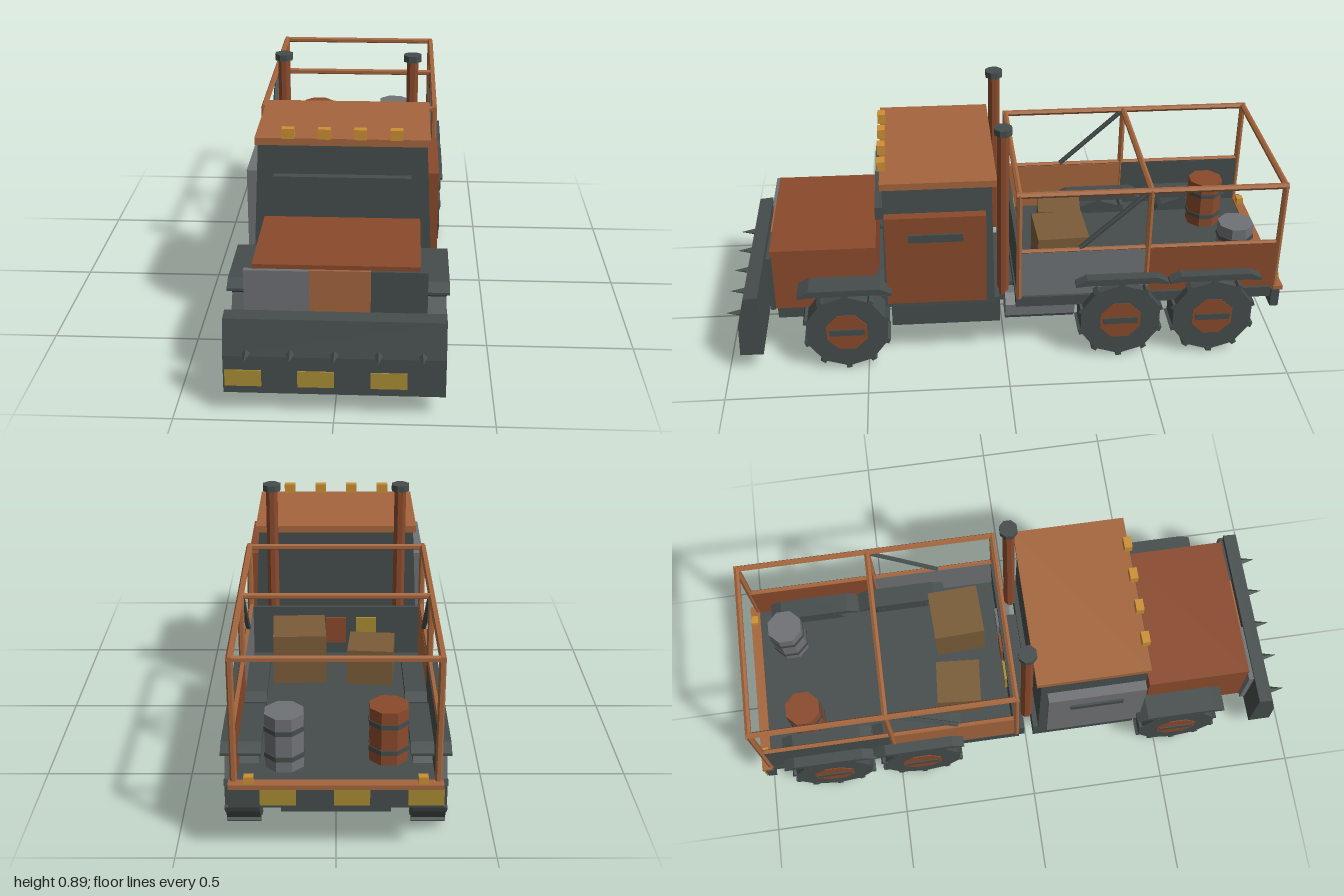
import * as THREE from 'three';

const M = (name, color) => {
  const m = new THREE.MeshStandardMaterial({ color });
  m.name = name;
  return m;
};

export function createModel() {
  const truck = new THREE.Group();
  truck.name = 'armouredTruck';
  const charcoal = M('charcoal', 0x454d4c), rust = M('rust', 0x8a4a2c), orange = M('orange rust', 0xa5663d);
  const grey = M('bare steel', 0x6f7275), yellow = M('hazard yellow', 0xa88c34), amber = M('amber', 0xcc9034);
  const crateTan = M('crate tan', 0x7a5c38);

  const add = (name, geo, mat, x = 0, y = 0, z = 0, parent = truck) => {
    const m = new THREE.Mesh(geo, mat);
    m.name = name;
    m.position.set(x, y, z);
    parent.add(m);
    return m;
  };
  // Box given by its limits on each axis
  const box = (name, mat, x0, x1, y0, y1, z0, z1) =>
    add(name, new THREE.BoxGeometry(x1 - x0, y1 - y0, z1 - z0), mat, (x0 + x1) / 2, (y0 + y1) / 2, (z0 + z1) / 2);
  // Faceted cylinder with flats facing the axes
  const prism = (r, h, n = 8) => new THREE.CylinderGeometry(r, r, h, n).rotateY(Math.PI / n).toNonIndexed();
  const facet = (g) => { g.computeVertexNormals(); return g; };
  // Faceted bar between two points
  const bar = (name, mat, a, b, r = 0.011) => {
    const A = new THREE.Vector3(...a), B = new THREE.Vector3(...b), d = B.clone().sub(A);
    const m = add(name, facet(prism(r, d.length(), 6)), mat);
    m.position.copy(A).add(B).multiplyScalar(0.5);
    m.quaternion.setFromUnitVectors(new THREE.Vector3(0, 1, 0), d.normalize());
    return m;
  };
  // Profile of [z, y] points swept along x
  const sweepX = (pts, width) => {
    const s = new THREE.Shape(pts.map(([z, y]) => new THREE.Vector2(-z, y)));
    return new THREE.ExtrudeGeometry(s, { depth: width, bevelEnabled: false })
      .translate(0, 0, -width / 2).rotateY(Math.PI / 2);
  };
  // Box whose top is narrower than its base
  const taper = (w, h, d, sx, sz) => {
    const g = new THREE.BoxGeometry(w, h, d).toNonIndexed(), p = g.attributes.position;
    for (let i = 0; i < p.count; i++)
      if (p.getY(i) > 0) { p.setX(i, p.getX(i) * sx); p.setZ(i, p.getZ(i) * sz); }
    return facet(g);
  };

  // Chassis, cab and bonnet
  box('chassis', charcoal, -0.17, 0.17, 0.145, 0.225, -0.96, 0.82);
  box('cabBase', charcoal, -0.3, 0.3, 0.145, 0.25, 0.0, 0.43).scale.z = 0.9;
  add('cab', taper(0.61, 0.47, 0.39, 0.925, 0.96), charcoal, 0, 0.465, 0.235);
  box('roof', orange, -0.292, 0.292, 0.7, 0.725, 0.03, 0.43);
  box('visionSlit', charcoal, -0.23, 0.23, 0.55, 0.597, 0.41, 0.452);
  add('bonnet', taper(0.54, 0.235, 0.37, 0.97, 1), rust, 0, 0.337, 0.64);
  box('bonnetBase', charcoal, -0.23, 0.23, 0.15, 0.225, 0.43, 0.82);
  box('grillePlateGrey', grey, -0.288, -0.083, 0.225, 0.44, 0.822, 0.84);
  box('grillePlateOrange', orange, -0.083, 0.108, 0.225, 0.44, 0.82, 0.834);
  box('grillePlateDark', charcoal, 0.108, 0.285, 0.225, 0.44, 0.82, 0.836);
  for (const x of [-0.18, -0.06, 0.06, 0.18]) box('roofLight', amber, x - 0.021, x + 0.021, 0.725, 0.76, 0.41, 0.438);

  // Front blade with hazard stripes and spikes
  add('blade', sweepX([[0.872, 0.075], [0.955, 0.075], [0.95, 0.2], [0.922, 0.315], [0.872, 0.32]], 0.69), charcoal);
  for (let i = 0; i < 3; i++) {
    const x = -0.34 + i * 0.226;
    const s = box('bladeStripe', yellow, x, x + 0.114, 0.1, 0.154, 0.949, 0.957);
    s.rotation.x = -0.04;
    box('rearStripe', yellow, x + 0.01, x + 0.12, 0.19, 0.245, -0.996, -0.99);
  }
  for (let i = -2; i <= 2; i++)
    add('spike', facet(new THREE.ConeGeometry(0.014, 0.055, 4).toNonIndexed()), charcoal, i * 0.136, 0.21, 0.972).rotation.x = Math.PI / 2;

  // Wheels, axles and mudguards
  for (const z of [0.57, -0.41, -0.745]) {
    bar('axle', charcoal, [-0.26, 0.16, z], [0.26, 0.16, z], 0.03);
    for (const s of [-1, 1]) {
      const w = new THREE.Group();
      w.name = 'wheel';
      w.position.set(s * 0.295, 0.16, z);
      truck.add(w);
      const tyre = facet(new THREE.CylinderGeometry(0.15, 0.15, 0.108, 10).rotateY(Math.PI / 10).toNonIndexed());
      add('tyre', tyre, charcoal, 0, 0, 0, w).rotation.z = Math.PI / 2;
      add('hub', facet(prism(0.078, 0.114)), rust, 0, 0, 0, w).rotation.z = Math.PI / 2;
      add('hubBar', new THREE.BoxGeometry(0.03, 0.024, 0.125), charcoal, s * 0.046, 0, 0, w);
      for (let i = 0; i < 10; i++) {
        const a = i * Math.PI / 5;
        add('treadLug', new THREE.BoxGeometry(0.11, 0.02, 0.02), charcoal, 0, Math.cos(a) * 0.148, Math.sin(a) * 0.148, w).rotation.x = a;
      }
      add('mudguard', sweepX([[-0.165, 0.313], [-0.12, 0.318], [0.12, 0.318], [0.165, 0.313],
        [0.165, 0.322], [0.125, 0.342], [-0.125, 0.342], [-0.165, 0.322]], 0.127), charcoal, s * 0.2935, 0, z);
    }
  }

  // Paired doors, exhausts, tanks, frame sides and side panels
  for (const s of [-1, 1]) {
    const side = (name, mat, a, b, ...r) => box(name, mat, Math.min(s * a, s * b), Math.max(s * a, s * b), ...r);
    side('door', s > 0 ? rust : grey, 0.285, 0.322, 0.255, 0.605, 0.07, 0.42);
    side('doorSlit', charcoal, 0.3, 0.33, 0.51, 0.54, 0.15, 0.34);
    add('exhaust', facet(prism(0.022, 0.65)), rust, s * 0.23, 0.55, 0.005);
    add('exhaustCap', facet(prism(0.033, 0.023)), charcoal, s * 0.23, 0.882, 0.005);
    if (s > 0) add('fuelTank', facet(prism(0.06, 0.25)), grey, 0.235, 0.182, -0.125).rotation.x = Math.PI / 2;
    else side('batteryBox', charcoal, 0.16, 0.29, 0.135, 0.215, -0.24, -0.01);
    side('frontSidePanel', s > 0 ? grey : orange, 0.303, 0.318, 0.262, 0.442, -0.5, -0.04);
    side('rearSidePanel', s > 0 ? rust : charcoal, 0.303, 0.318, 0.262, 0.442, -0.97, -0.5);
    for (const z of [-0.045, -0.5, -0.968]) bar('framePost', orange, [s * 0.312, 0.25, z], [s * 0.312, 0.677, z]);
    bar('topRail', orange, [s * 0.312, 0.673, -0.035], [s * 0.312, 0.673, -0.978]);
    bar('panelRail', orange, [s * 0.311, 0.445, -0.04], [s * 0.311, 0.445, -0.97], 0.008);
    bar('brace', charcoal, [s * 0.308, 0.45, -0.26], [s * 0.308, 0.67, -0.495], 0.009);
    side('tailLight', amber, 0.25, 0.28, 0.262, 0.288, -0.995, -0.97);
  }

  // Cargo bed and rear bumper
  box('bedFloor', charcoal, -0.318, 0.318, 0.215, 0.255, -0.97, -0.035);
  box('headboard', charcoal, -0.305, 0.305, 0.25, 0.44, -0.055, -0.04);
  for (const z of [-0.045, -0.5, -0.968]) bar('crossRail', orange, [-0.312, 0.673, z], [0.312, 0.673, z]);
  box('rearBumper', charcoal, -0.33, 0.33, 0.18, 0.25, -0.99, -0.96);
  box('bumperLip', orange, -0.328, 0.328, 0.248, 0.264, -1.0, -0.965);
  [[-0.11, yellow], [0, rust], [0.1, grey]].forEach(([x, mat]) =>
    box('headboardPlate', mat, x - 0.037, x + 0.037, 0.3, 0.4, -0.064, -0.055));

  // Crates and drums
  [[-0.125, -0.235, 0.16, 0.13, -0.08], [0.13, -0.21, 0.185, 0.18, 0.04]].forEach(([x, z, w, h, r]) => {
    add('crate', new THREE.BoxGeometry(w, h, w), crateTan, x, 0.255 + h / 2, z).rotation.y = r;
  });
  [[-0.165, -0.81, rust], [0.16, -0.85, grey]].forEach(([x, z, mat]) => {
    add('drum', facet(prism(0.065, 0.185)), mat, x, 0.347, z);
    for (const y of [0.3, 0.39]) add('drumBand', facet(prism(0.068, 0.016)), charcoal, x, y, z);
  });
  return truck;
}
